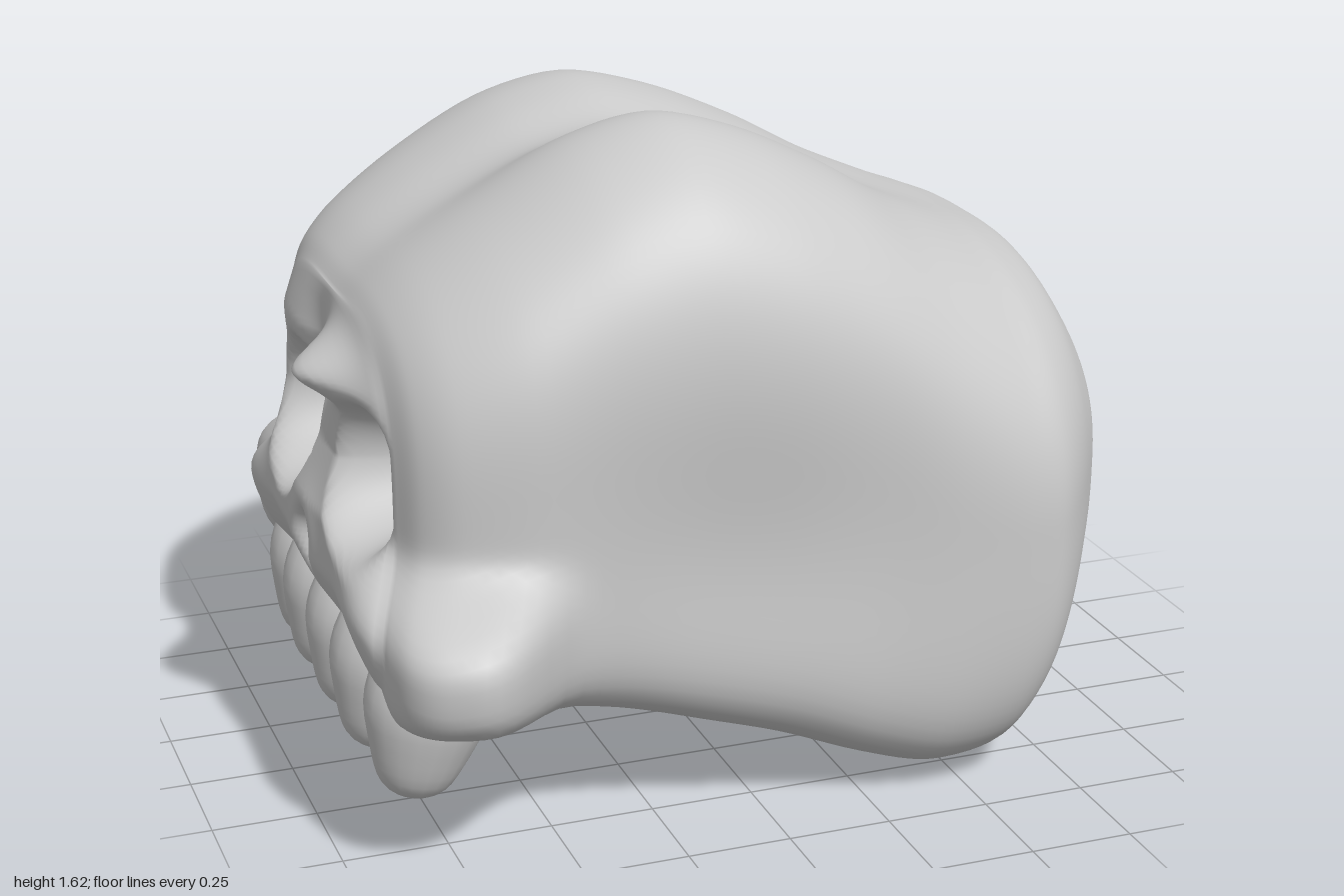
import * as THREE from 'three';

const bell = (d, s) => Math.exp(-(d * d) / (s * s));
const plateau = (d, s) => Math.exp(-Math.pow(d / s, 4));
const { smoothstep, lerp, clamp } = THREE.MathUtils;

// stations along the head: x, underside y, top y, half width
const STATIONS = [
  [-0.85, 0.40, 1.22, 0.49], [-0.81, 0.34, 1.27, 0.58], [-0.73, 0.31, 1.34, 0.65],
  [-0.57, 0.31, 1.45, 0.71], [-0.35, 0.27, 1.585, 0.73], [-0.15, 0.21, 1.64, 0.73],
  [0.05, 0.15, 1.59, 0.73], [0.25, 0.07, 1.49, 0.73], [0.43, 0.01, 1.38, 0.74],
  [0.6, 0.01, 1.3, 0.745], [0.7, 0.1, 1.26, 0.73], [0.8, 0.24, 1.21, 0.65],
  [0.88, 0.39, 1.1, 0.53], [0.94, 0.53, 0.98, 0.36], [0.98, 0.64, 0.85, 0.18], [1.0, 0.74, 0.74, 0.0],
];
// face profile: y, x
const FACE = [[0.3, -0.86], [0.45, -0.92], [0.6, -0.96], [0.73, -0.95], [0.86, -0.9], [0.98, -0.89], [1.07, -0.91], [1.15, -0.89], [1.3, -0.86]];

function faceX(y) {
  let i = 0;
  while (i < FACE.length - 2 && y > FACE[i + 1][0]) i++;
  const [a, b] = [FACE[i], FACE[i + 1]];
  return lerp(a[1], b[1], clamp((y - a[0]) / (b[0] - a[0]), 0, 1));
}

// rounded-square cross-section: boxy below, softer on top and towards the back
function sectionPoint(x, yb, yt, w, a) {
  const c = Math.cos(a), s = Math.sin(a), back = smoothstep(x, 0.2, 0.8);
  const n = s < 0 ? 6 - 2.7 * back : (c > 0 ? 3 : 3.7) - 0.8 * back;
  const r = Math.pow(Math.pow(Math.abs(c), n) + Math.pow(Math.abs(s), n), -1 / n);
  return [(yb + yt) / 2 + (yt - yb) / 2 * s * r, w * c * r];
}

// cheekbones swell out of the lower front corners
function addCheek(x, y, z) {
  const right = z < 0;
  const b = plateau(x + (right ? 0.65 : 0.72), right ? 0.27 : 0.19) * plateau(y - 0.51, 0.17) * smoothstep(Math.abs(z), 0.28, 0.5);
  return [x - 0.1 * b, y, z + Math.sign(z) * (right ? 0.165 : 0.22) * b];
}

function skullGeometry() {
  const SEG = 160, FACE_RINGS = 30, BODY_RINGS = 90;
  const heights = new THREE.CatmullRomCurve3(STATIONS.map(s => new THREE.Vector3(s[0], s[1], s[2])), false, 'catmullrom', 0.45);
  const widths = new THREE.CatmullRomCurve3(STATIONS.map(s => new THREE.Vector3(s[0], s[3], 0)), false, 'catmullrom', 0.45);
  const pos = [], index = [];

  // face, from its middle out to the rim
  const [rx, rb, rt, rw] = STATIONS[0];
  for (let i = 0; i < FACE_RINGS; i++) {
    const t = i / FACE_RINGS;
    for (let j = 0; j < SEG; j++) {
      let [y, z] = sectionPoint(rx, rb, rt, rw, j / SEG * Math.PI * 2);
      y = 0.81 + (y - 0.81) * t;
      z *= t;
      const fade = 1 - Math.pow(t, 6);
      const [cx, , cz] = addCheek(rx, y, z);
      let x = cx + (faceX(y) - rx) * fade;
      for (const [ez, ey, er] of [[-0.21, 0.84, 0.19], [0.35, 0.86, 0.165]]) {           // eye sockets
        const d = Math.hypot((z - ez) / er, (y - ey) / 0.18);
        x += 0.27 * (1 - smoothstep(d, 0.45, 1.1)) * fade;
      }
      const nose = Math.hypot(z - 0.05, y - 0.62);
      x -= 0.1 * bell(z - 0.17, 0.13) * bell(y - 1.08, 0.06) * fade;    // brow point
      x += 0.05 * bell(z + 0.04, 0.1) * bell(y - 1.05, 0.12) * fade;    // dip beside it
      x += 0.14 * bell(nose, 0.05) - 0.03 * bell(nose, 0.11);           // nose hole and rim
      pos.push(x, y, cz);
    }
  }
  // cranium
  for (let i = 0; i <= BODY_RINGS; i++) {
    const h = heights.getPoint(i / BODY_RINGS), w = Math.max(0, widths.getPoint(i / BODY_RINGS).y);
    for (let j = 0; j < SEG; j++) {
      const a = j / SEG * Math.PI * 2;
      let [y, z] = sectionPoint(h.x, h.y, Math.max(h.y, h.z), w, a);
      const up = Math.max(0, Math.sin(a)), crown = bell(h.x + 0.15, 0.5);
      y -= up * crown * (0.11 * bell(z + 0.02, 0.18) + 0.05 * smoothstep(-z, 0, 0.3));
      z *= 1 - 0.07 * bell(h.x + 0.1, 0.4) * bell(y - 0.65, 0.35);      // hollow temples
      z += 0.12 * smoothstep(h.x, 0.92, 1) - 0.03 * bell(h.x + 0.4, 0.35) - 0.045 * bell(h.x - 0.85, 0.1);
      pos.push(...addCheek(h.x, y, z));
    }
  }
  const rings = FACE_RINGS + BODY_RINGS;
  for (let i = 0; i < rings; i++) {
    for (let j = 0; j < SEG; j++) {
      const k = (j + 1) % SEG, a = i * SEG + j, b = a + SEG, c = i * SEG + k, d = c + SEG;
      index.push(a, b, c, b, d, c);
    }
  }
  const g = new THREE.BufferGeometry();
  g.setAttribute('position', new THREE.Float32BufferAttribute(pos, 3));
  g.setIndex(index);
  g.computeVertexNormals();
  return g;
}

export function createModel() {
  const model = new THREE.Group();
  model.name = 'skull';
  const bone = new THREE.MeshStandardMaterial({ color: 0xcccccc });
  const add = (name, geometry) => {
    const m = new THREE.Mesh(geometry, bone);
    m.name = name;
    model.add(m);
    return m;
  };

  add('cranium', skullGeometry());

  // row of five blunt teeth, leaning back into the jaw
  const profile = [[0, 0], [0.035, 0.005], [0.065, 0.04], [0.09, 0.12], [0.11, 0.22], [0.1, 0.32], [0.06, 0.42], [0, 0.46]]
    .map(([r, y]) => new THREE.Vector2(r, y));
  const toothShape = new THREE.LatheGeometry(new THREE.SplineCurve(profile).getPoints(20), 20);
  for (let i = 0; i < 5; i++) {
    const big = i === 0 || i === 4;
    const tooth = add('tooth' + (i + 1), toothShape);
    tooth.position.set(big ? -0.83 : -0.85, big ? 0.14 : 0.16, -0.46 + 0.237 * i);
    tooth.scale.set(1.35, 1, 1.2);
    tooth.rotation.z = -0.2;
  }
  return model;
}
